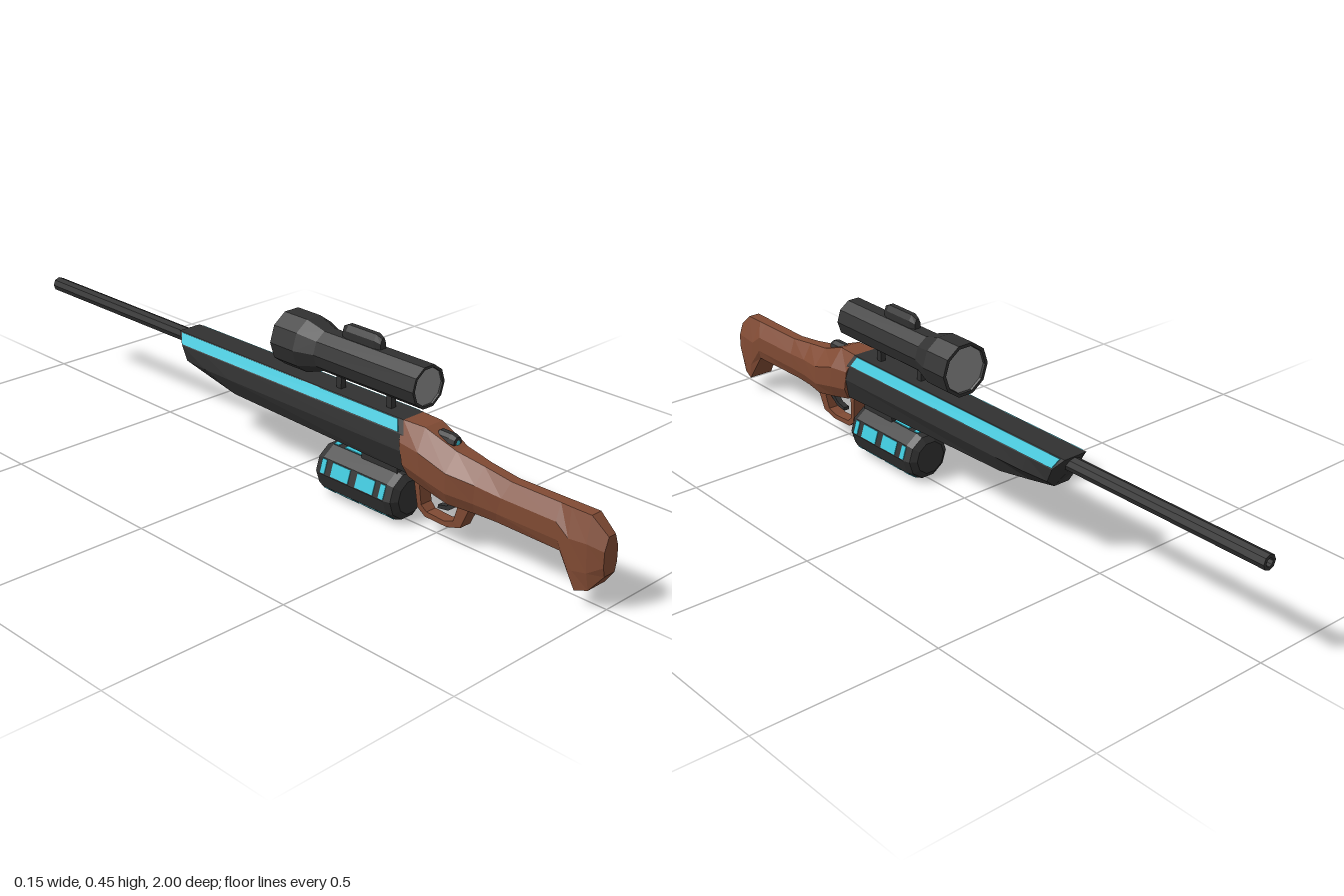
import * as THREE from 'three';

const mat = (name, color) => Object.assign(new THREE.MeshStandardMaterial({ color }), { name });

// faceted normals for a low-poly finish
function facet(g) {
  const f = g.index ? g.toNonIndexed() : g;
  f.computeVertexNormals();
  return f;
}

// skin closed rings running from +z to -z, each counter-clockwise seen from +z
function loft(rings) {
  const n = rings[0].length, last = (rings.length - 1) * n, idx = [];
  for (let i = 0; i < rings.length - 1; i++) {
    for (let j = 0; j < n; j++) {
      const a = i * n + j, b = i * n + (j + 1) % n;
      idx.push(a, a + n, b, b, a + n, b + n);
    }
  }
  for (let j = 1; j < n - 1; j++) idx.push(0, j, j + 1, last, last + j + 1, last + j);
  const g = new THREE.BufferGeometry();
  g.setAttribute('position', new THREE.Float32BufferAttribute(rings.flat(2), 3));
  g.setIndex(idx);
  return facet(g);
}

// complete a right-hand half outline by mirroring it in x
const mirrorRing = half => [...half, ...half.slice().reverse().map(([x, y, z]) => [-x, y, z])];

// eight-sided section between a top and a bottom point of the side profile
function section([zt, yt, zb, yb, w, wt = w, wb = w]) {
  const at = t => [yb + (yt - yb) * t, zb + (zt - zb) * t];
  return mirrorRing([[wb, yb, zb], [w, ...at(0.25)], [w, ...at(0.65)], [wt, yt, zt]]);
}

// turned part along z from [radius, z] points, low z first
function turned(points, sides) {
  const g = new THREE.LatheGeometry(points.map(p => new THREE.Vector2(...p)), sides, Math.PI / 2);
  return facet(g.rotateX(Math.PI / 2));
}

export function createModel() {
  const model = new THREE.Group();
  const dark = mat('charcoal', 0x313131);
  const wood = mat('brown wood', 0x814b34);
  const cyan = mat('cyan', 0x3cc8dc);
  const glass = mat('grey glass', 0x8c8c8c);
  const add = (name, geo, m, x = 0, y = 0, z = 0, parent = model) => {
    const mesh = new THREE.Mesh(geo, m);
    mesh.name = name;
    mesh.position.set(x, y, z);
    parent.add(mesh);
    return mesh;
  };

  // wooden stock: top z,y, bottom z,y, half widths at side, top, bottom
  add('stock', loft([
    [1.0, 0.185, 1.0, 0.09, 0.024, 0.012, 0.018],
    [0.955, 0.222, 0.968, 0.048, 0.036, 0.016, 0.03],
    [0.9, 0.222, 0.935, 0.038, 0.038, 0.016, 0.036],
    [0.87, 0.222, 0.885, 0.115, 0.037, 0.015, 0.03],
    [0.73, 0.222, 0.7, 0.115, 0.036, 0.014, 0.026],
    [0.65, 0.233, 0.64, 0.115, 0.042, 0.014, 0.03],
    [0.57, 0.246, 0.57, 0.118, 0.058, 0.02, 0.045],
    [0.48, 0.28, 0.5, 0.132, 0.063, 0.03, 0.045],
    [0.415, 0.28, 0.44, 0.145, 0.058, 0.034, 0.042],
  ].map(section)), wood);

  // trigger guard and trigger
  add('triggerGuard', loft([
    [0.585, 0.125, 0.62, 0.125, 0.02],
    [0.565, 0.064, 0.588, 0.054, 0.018],
    [0.535, 0.053, 0.545, 0.04, 0.016],
    [0.48, 0.056, 0.475, 0.042, 0.016],
    [0.464, 0.07, 0.452, 0.06, 0.018],
    [0.456, 0.15, 0.439, 0.15, 0.022],
  ].map(section)), wood);
  add('trigger', loft([
    [0.558, 0.135, 0.575, 0.135, 0.008],
    [0.551, 0.102, 0.566, 0.098, 0.008],
    [0.535, 0.089, 0.541, 0.079, 0.008],
    [0.508, 0.083, 0.508, 0.074, 0.008],
  ].map(section)), dark);

  // receiver body with sloped shoulders and an undercut nose
  const bodyRing = ([zt, zb, yb, w, wb]) => mirrorRing([
    [wb, yb, zb], [w, Math.max(0.21, yb + 0.02), zb],
    [0.05, 0.25, zb + (zt - zb) * 0.4], [0.035, 0.28, zt],
  ]);
  add('body', loft([
    [0.415, 0.44, 0.15, 0.058, 0.04],
    [-0.18, -0.18, 0.165, 0.057, 0.038],
    [-0.3, -0.28, 0.178, 0.055, 0.03],
    [-0.405, -0.36, 0.19, 0.048, 0.024],
  ].map(bodyRing)), dark);

  // glowing stripes on both shoulders, with slanted ends
  for (const side of [1, -1]) {
    const g = new THREE.BoxGeometry(0.004, 0.029, 0.79);
    const p = g.attributes.position;
    for (let i = 0; i < p.count; i++) if (p.getY(i) < 0) p.setZ(i, p.getZ(i) + 0.014);
    const stripe = add('shoulderStripe', facet(g), cyan, side * 0.043, 0.2655, 0.004);
    stripe.rotation.z = side * Math.atan2(0.015, 0.03);
  }

  // barrel with a hollow muzzle
  add('barrel', turned([[0, -0.95], [0.011, -0.95], [0.011, -1], [0.02, -1], [0.02, -0.34], [0, -0.34]], 8), dark, 0, 0.256);

  // bolt at the rear of the receiver
  add('bolt', turned([[0.014, 0.44], [0.014, 0.495], [0.02, 0.505], [0.02, 0.54], [0.014, 0.555], [0, 0.555]], 10), dark, 0, 0.256);
  add('boltLight', new THREE.CircleGeometry(0.007, 10), cyan, 0, 0.256, 0.557);

  // scope: bell, tube, lenses, adjuster and mounts
  const scope = new THREE.Group();
  scope.name = 'scope';
  model.add(scope);
  add('scopeTube', turned([
    [0, 0.008], [0.061, 0.008], [0.064, -0.005], [0.073, -0.005], [0.073, 0.075],
    [0.055, 0.13], [0.055, 0.46], [0.048, 0.46], [0.047, 0.45], [0, 0.45],
  ], 10), dark, 0, 0.367, 0, scope);
  add('eyepieceLens', new THREE.CircleGeometry(0.0475, 10), glass, 0, 0.367, 0.455, scope);
  add('frontLens', new THREE.CircleGeometry(0.0625, 10).rotateY(Math.PI), glass, 0, 0.367, 0.001, scope);
  add('scopeAdjuster', loft([
    [0.312, 0.446, 0.312, 0.41, 0.009, 0.004, 0.009],
    [0.295, 0.454, 0.295, 0.41, 0.015, 0.007, 0.015],
    [0.202, 0.454, 0.202, 0.41, 0.015, 0.007, 0.015],
    [0.185, 0.446, 0.185, 0.41, 0.009, 0.004, 0.009],
  ].map(section)), dark, 0, 0, 0, scope);
  for (const z of [0.342, 0.173]) {
    add('scopeMount', new THREE.BoxGeometry(0.016, 0.05, 0.016), dark, 0, 0.3, z, scope);
  }

  // energy cell hanging below the body
  const cell = new THREE.Group();
  cell.name = 'energyCell';
  cell.position.y = 0.0675;
  model.add(cell);
  add('cellCasing', turned([
    [0, 0.138], [0.045, 0.138], [0.062, 0.15], [0.068, 0.17],
    [0.068, 0.385], [0.062, 0.403], [0.045, 0.415], [0, 0.415],
  ], 10), dark, 0, 0, 0, cell);
  add('cellBracket', new THREE.BoxGeometry(0.05, 0.06, 0.12), dark, 0, 0.075, 0.33, cell);

  // windows on every other face of the cell
  const apothem = 0.068 * Math.cos(Math.PI / 10);
  for (let k = 0; k < 5; k++) {
    const a = Math.PI / 10 + k * Math.PI * 0.4;
    for (const [z, depth] of [[0.377, 0.016], [0.32, 0.06], [0.236, 0.06], [0.177, 0.016]]) {
      const pane = add('cellWindow', new THREE.BoxGeometry(0.004, 0.036, depth), cyan,
        Math.cos(a) * apothem, Math.sin(a) * apothem, z, cell);
      pane.rotation.z = a;
    }
  }
  return model;
}
